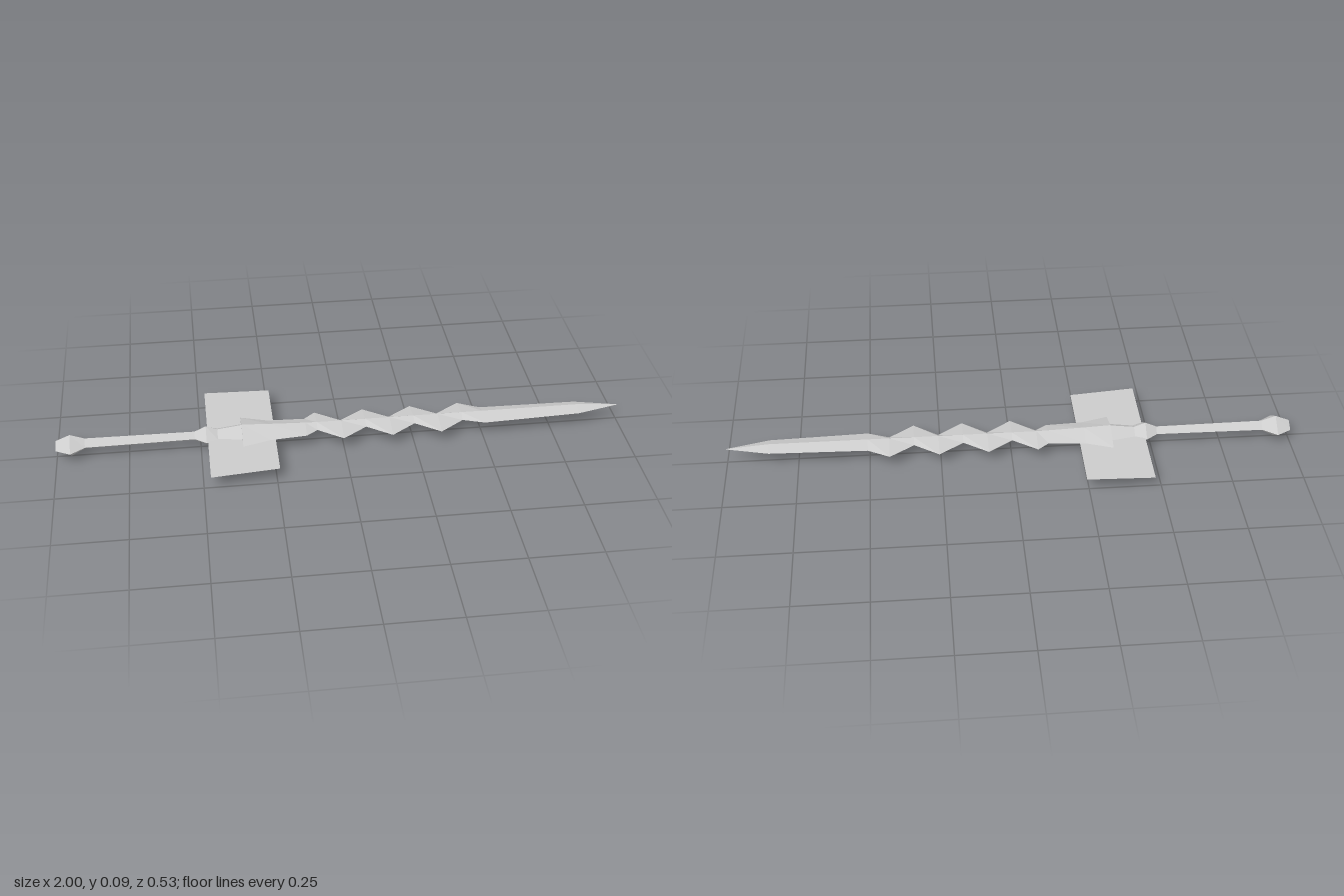
import * as THREE from 'three';

// Faceted loft along x. Each section: [x, yBottom, yEdge, yTop, zBack, zFront]
function diamondLoft(sections) {
  const rings = sections.map(([x, yb, ye, yt, zb, zf]) => [
    [x, yt, 0], [x, ye, zf], [x, yb, 0], [x, ye, zb],
  ]);
  const pos = [];
  const quad = (a, b, c, d) => pos.push(...a, ...b, ...c, ...a, ...c, ...d);
  for (let i = 0; i < rings.length - 1; i++) {
    for (let k = 0; k < 4; k++) {
      const n = (k + 1) % 4;
      quad(rings[i][k], rings[i][n], rings[i + 1][n], rings[i + 1][k]);
    }
  }
  const first = rings[0], last = rings[rings.length - 1];
  quad(first[0], first[3], first[2], first[1]);
  quad(...last);
  const geometry = new THREE.BufferGeometry();
  geometry.setAttribute('position', new THREE.Float32BufferAttribute(pos, 3));
  geometry.computeVertexNormals(); // unshared corners keep every facet flat
  return geometry;
}

export function createModel() {
  const group = new THREE.Group();
  const steel = new THREE.MeshStandardMaterial({ color: 0xcccccc, side: THREE.DoubleSide });
  steel.name = 'pale steel';

  const add = (name, geometry) => {
    const mesh = new THREE.Mesh(geometry, steel);
    mesh.name = name;
    group.add(mesh);
  };

  // Pommel, grip and collar
  add('pommel', diamondLoft([
    [-1.0, 0.025, 0.045, 0.065, -0.033, 0.033],
    [-0.95, 0.0, 0.045, 0.086, -0.06, 0.06],
    [-0.9, 0.028, 0.047, 0.068, -0.027, 0.027],
  ]));
  add('grip', diamondLoft([
    [-0.9, 0.028, 0.047, 0.068, -0.027, 0.027],
    [-0.52, 0.03, 0.048, 0.065, -0.023, 0.023],
  ]));
  add('collar', diamondLoft([
    [-0.52, 0.03, 0.048, 0.065, -0.023, 0.023],
    [-0.48, 0.01, 0.048, 0.084, -0.052, 0.052],
    [-0.44, 0.026, 0.048, 0.068, -0.036, 0.036],
    [-0.35, 0.018, 0.05, 0.08, -0.05, 0.05],
  ]));

  // Wavy blade: a straight ridge with edges that zigzag together
  const blade = [
    [-0.355, 0.017, 0.05, 0.081, -0.092, 0.092],
    [-0.26, 0.026, 0.051, 0.076, -0.06, 0.065],
    [-0.13, 0.035, 0.053, 0.071, -0.052, 0.056],
  ];
  for (let i = 0; i < 7; i++) {
    const x = -0.09 + i * 0.0865;
    const back = i % 2 === 0;
    blade.push([x, 0.037 + i * 0.0008, 0.054, 0.07, back ? -0.086 : -0.026, back ? 0.027 : 0.09]);
  }
  blade.push(
    [0.505, 0.043, 0.055, 0.07, -0.046, 0.055],
    [0.85, 0.046, 0.057, 0.07, -0.038, 0.04],
    [1.0, 0.056, 0.057, 0.058, -0.001, 0.001],
  );
  add('blade', diamondLoft(blade));

  // Flat cross guard sheet
  const outline = new THREE.Shape([
    new THREE.Vector2(-0.475, -0.262),
    new THREE.Vector2(-0.24, -0.238),
    new THREE.Vector2(-0.24, 0.262),
    new THREE.Vector2(-0.475, 0.27),
  ]);
  const sheet = new THREE.ShapeGeometry(outline);
  sheet.rotateX(-Math.PI / 2);
  sheet.translate(0, 0.05, 0);
  add('crossGuard', sheet);

  return group;
}
